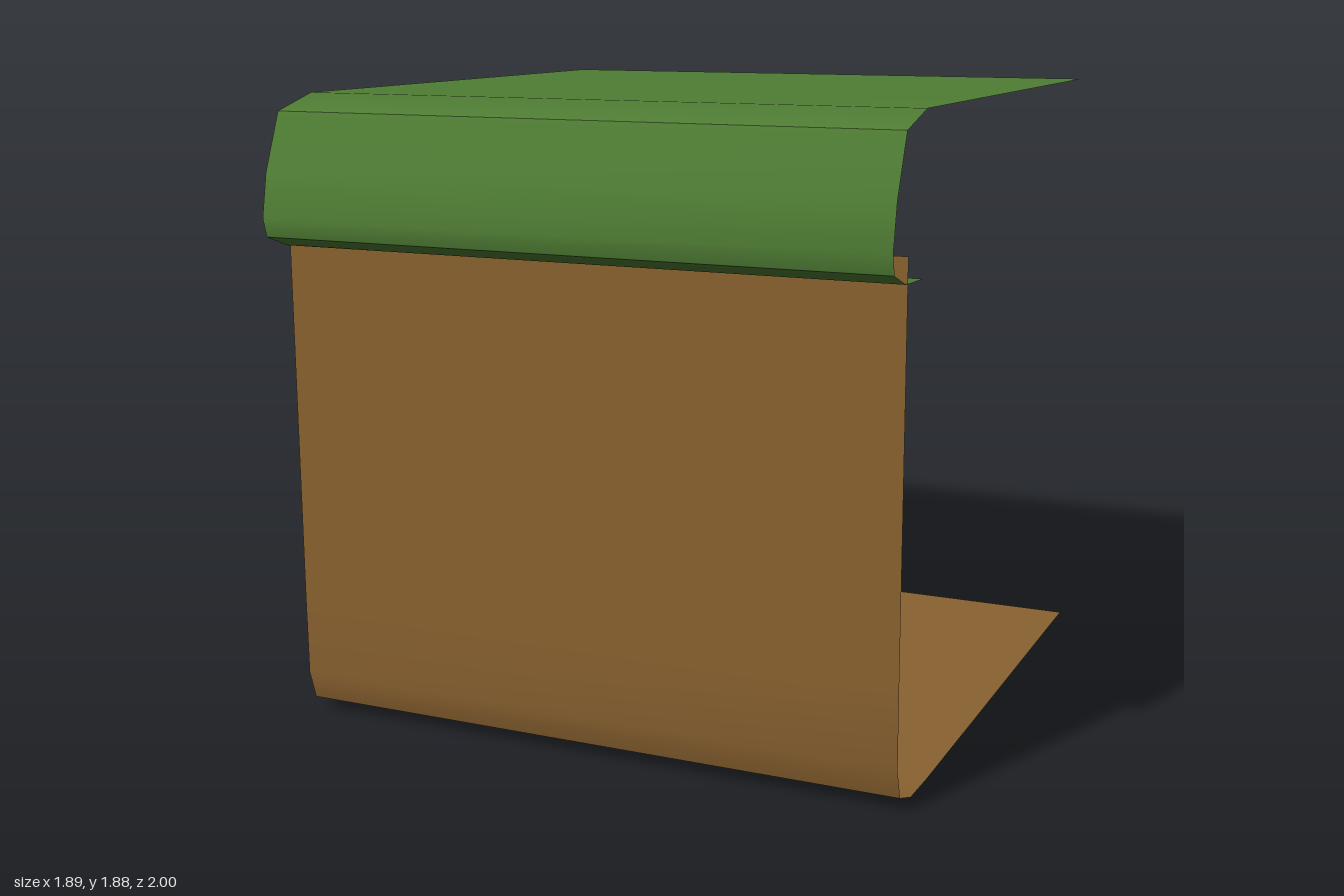
import * as THREE from 'three';

const WIDTH = 1.89;

const grass = new THREE.MeshStandardMaterial({ color: 0x4f7d34, side: THREE.DoubleSide });
grass.name = 'grass green';
const earth = new THREE.MeshStandardMaterial({ color: 0x8a6230, side: THREE.DoubleSide });
earth.name = 'earth brown';

// Sweeps a [z, y] profile across the width; smooth inside, sharp where sheets meet
function sheet(name, material, profile) {
  const geometry = new THREE.PlaneGeometry(WIDTH, 1, 1, profile.length - 1);
  const position = geometry.attributes.position;
  profile.forEach(([z, y], row) => {
    for (let side = 0; side < 2; side++) {
      const i = row * 2 + side;
      position.setXYZ(i, position.getX(i), y, z);
    }
  });
  geometry.computeVertexNormals();
  const mesh = new THREE.Mesh(geometry, material);
  mesh.name = name;
  return mesh;
}

export function createModel() {
  const model = new THREE.Group();
  model.name = 'groundBlock';

  // Grass: flat top, rounded overhang, and a lip tucked under through the wall
  const grassLayer = new THREE.Group();
  grassLayer.name = 'grassLayer';
  grassLayer.add(
    sheet('grassTop', grass, [[-1, 1.885], [0.74, 1.885], [0.905, 1.84]]),
    sheet('grassOverhang', grass, [[0.905, 1.84], [0.975, 1.67], [1, 1.54], [0.985, 1.485]]),
    sheet('grassLip', grass, [[0.985, 1.485], [0.89, 1.45], [0.745, 1.445]])
  );

  // Earth: upright front wall bending into the floor
  const earthLayer = new THREE.Group();
  earthLayer.name = 'earthLayer';
  earthLayer.add(
    sheet('earthWall', earth, [[0.875, 1.52], [0.875, 0.36], [0.873, 0.13], [0.845, 0.04]]),
    sheet('earthFloor', earth, [[0.845, 0.04], [0.75, 0.005], [0.6, 0], [-1, 0]])
  );

  model.add(grassLayer, earthLayer);
  return model;
}
